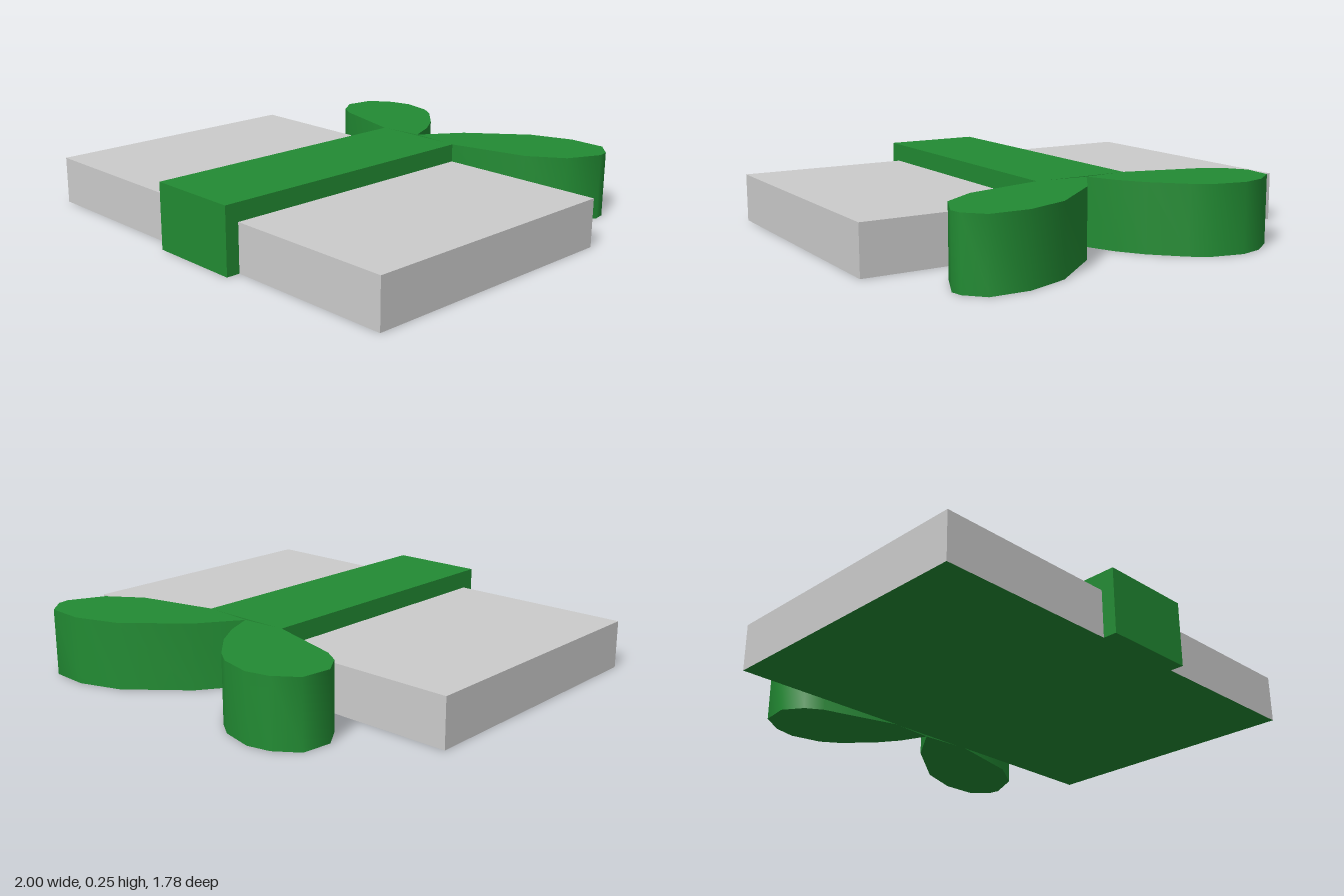
import * as THREE from 'three';
import { toCreasedNormals } from 'three/addons/utils/BufferGeometryUtils.js';

const BOX_HEIGHT = 0.185;
const RIBBON_HEIGHT = 0.255;
const TILT = -0.281;

export function createModel() {
  const grey = new THREE.MeshStandardMaterial({ color: 0xcccccc });
  const green = new THREE.MeshStandardMaterial({ color: 0x228b33 });
  const model = new THREE.Group();
  model.name = 'giftBox';

  // Tilted slab standing on the ground
  function addSlab(name, width, height, depth, x, z, material) {
    const mesh = new THREE.Mesh(new THREE.BoxGeometry(width, height, depth), material);
    mesh.name = name;
    mesh.position.set(x, height / 2, z);
    mesh.rotation.y = TILT;
    model.add(mesh);
  }

  // Upright bow loop from a ground-plan outline of [x, z] points
  function addLoop(name, outline) {
    const shape = new THREE.Shape(outline.map(([x, z]) => new THREE.Vector2(x, -z)));
    const solid = new THREE.ExtrudeGeometry(shape, { depth: RIBBON_HEIGHT, bevelEnabled: false });
    solid.rotateX(-Math.PI / 2);
    const mesh = new THREE.Mesh(toCreasedNormals(solid, 0.95), green);
    mesh.name = name;
    model.add(mesh);
  }

  // Grey box with a green underside
  addSlab('box', 1.767, BOX_HEIGHT, 1.088, 0, 0.122, [grey, grey, grey, green, grey, grey]);

  // Ribbon band, overhanging the front edge
  addSlab('ribbonBand', 0.373, RIBBON_HEIGHT, 1.144, 0.022, 0.155, green);

  // Bow loops meeting at the middle of the ribbon's back edge
  addLoop('bowLoopRight', [
    [0.17, -0.41], [0.155, -0.53], [0.12, -0.64], [0.05, -0.77], [0, -0.83], [-0.11, -0.89],
    [-0.2, -0.895], [-0.3, -0.86], [-0.345, -0.755], [-0.315, -0.665], [-0.265, -0.61], [0, -0.445],
  ]);
  addLoop('bowLoopLeft', [
    [0.17, -0.41], [0.32, -0.535], [0.57, -0.645], [0.74, -0.655], [0.88, -0.61], [0.92, -0.53],
    [0.915, -0.485], [0.82, -0.375], [0.67, -0.325], [0.36, -0.34],
  ]);

  return model;
}
